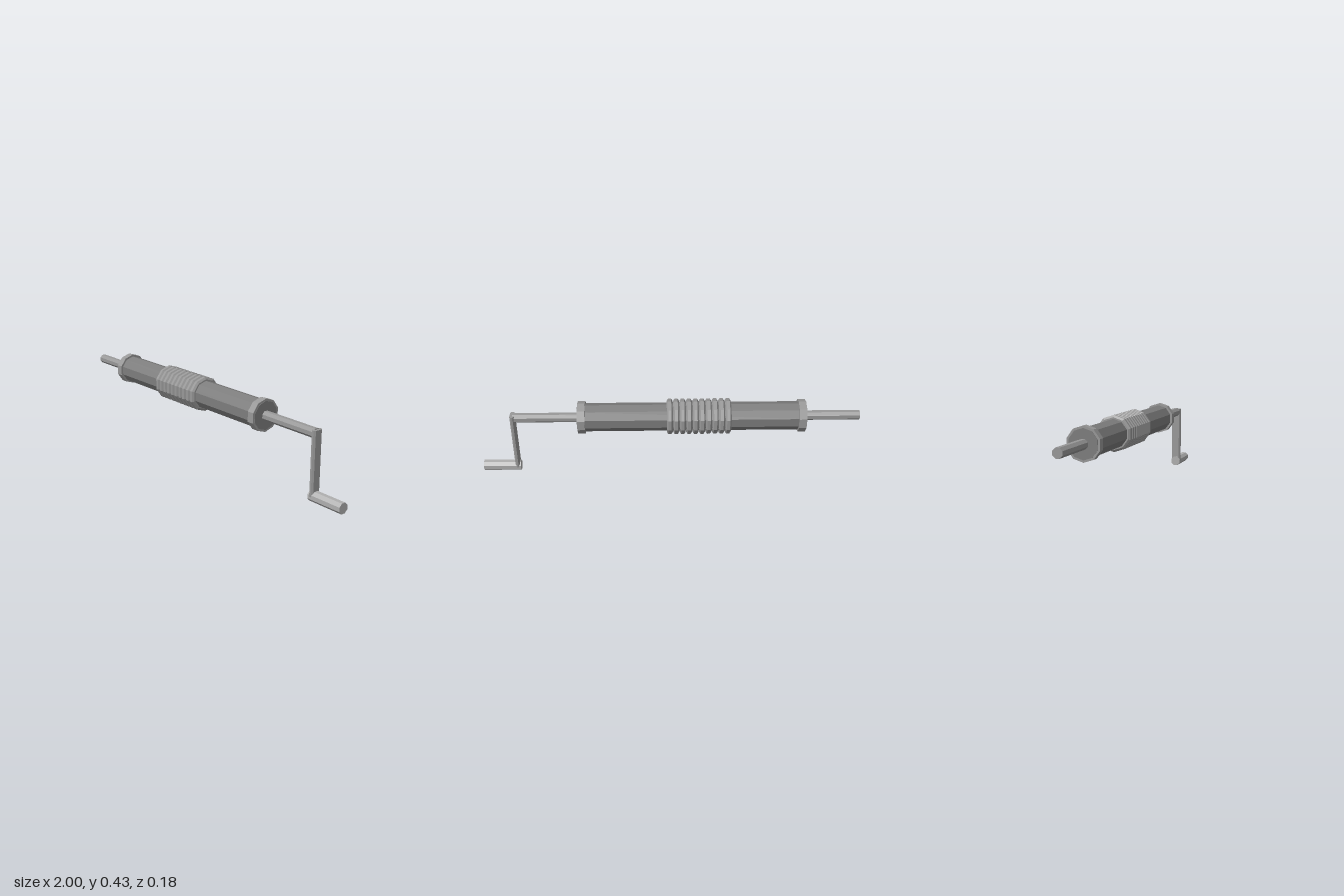
import * as THREE from 'three';

const AXIS_Y = 0.334;

export function createModel() {
  const model = new THREE.Group();
  const grey = (color) => new THREE.MeshStandardMaterial({ color, flatShading: true });
  const darkGrey = grey(0x7d7d7d);
  const midGrey = grey(0x989898);
  const lightGrey = grey(0xafafaf);

  function add(name, geometry, material, x, y, parent = model) {
    const mesh = new THREE.Mesh(geometry, material);
    mesh.name = name;
    mesh.position.set(x, y, 0);
    parent.add(mesh);
  }

  // Prism lying along x between x0 and x1
  function bar(name, material, radius, x0, x1, y, sides, turn) {
    const g = new THREE.CylinderGeometry(radius, radius, x1 - x0, sides, 1, false, turn);
    g.rotateZ(-Math.PI / 2);
    add(name, g, material, (x0 + x1) / 2, y);
  }

  // Ten-sided barrel, its ends just proud of the two collars
  bar('barrel', darkGrey, 0.074, -0.716, 0.476, AXIS_Y, 10, Math.PI / 2);
  bar('rightCollar', midGrey, 0.085, -0.714, -0.675, AXIS_Y, 10, Math.PI / 2);
  bar('leftCollar', midGrey, 0.085, 0.435, 0.474, AXIS_Y, 10, Math.PI / 2);

  // Octagonal shaft through the barrel, and the crank handle
  bar('shaft', midGrey, 0.0255, -1, 0.815, AXIS_Y, 8, Math.PI / 8);
  bar('handle', lightGrey, 0.0287, 0.8, 1, 0.0265, 8, Math.PI / 8);

  // Flattened octagonal crank arm between shaft and handle
  const section = new THREE.Shape([
    [-0.0125, -0.019], [-0.005, -0.0275], [0.005, -0.0275], [0.0125, -0.019],
    [0.0125, 0.019], [0.005, 0.0275], [-0.005, 0.0275], [-0.0125, 0.019],
  ].map(([x, z]) => new THREE.Vector2(x, z)));
  const arm = new THREE.ExtrudeGeometry(section, { depth: 0.325, bevelEnabled: false });
  arm.rotateX(-Math.PI / 2);
  add('crankArm', arm, midGrey, 0.817, 0.028);

  // Row of bevelled windings around the middle of the barrel
  const windings = new THREE.Group();
  windings.name = 'windings';
  model.add(windings);
  const profile = [
    [0.07, -0.0155], [0.082, -0.0155], [0.093, -0.008],
    [0.093, 0.008], [0.082, 0.0155], [0.07, 0.0155],
  ].map(([r, h]) => new THREE.Vector2(r, h));
  const ring = new THREE.LatheGeometry(profile, 10, Math.PI / 2);
  ring.rotateZ(-Math.PI / 2);
  for (let i = 0; i < 10; i++) {
    add('winding', ring, midGrey, -0.308 + i * 0.0337, AXIS_Y, windings);
  }

  return model;
}
